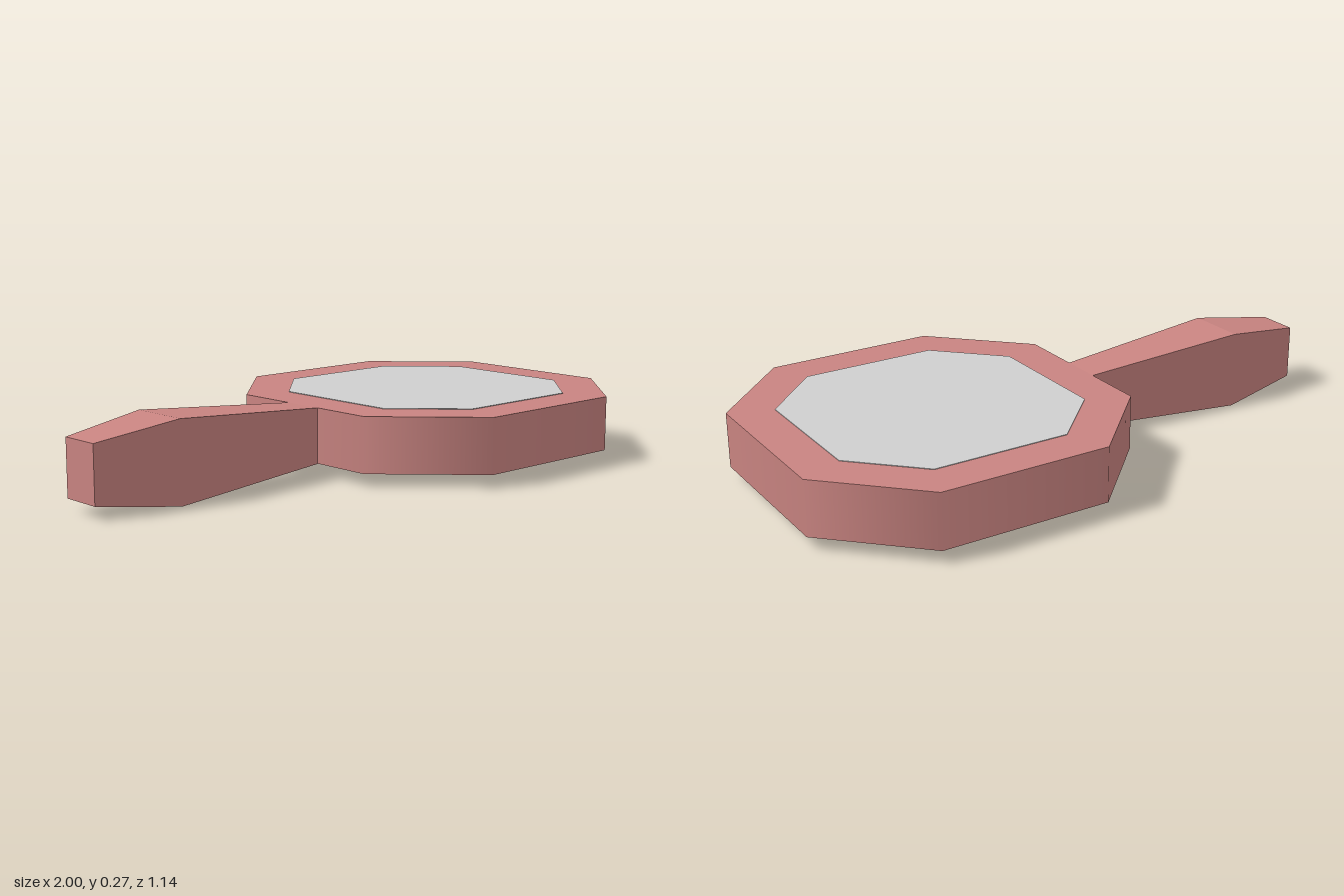
import * as THREE from 'three';

const pink = new THREE.MeshStandardMaterial({ name: 'dusty pink', color: 0xc98481 });
const grey = new THREE.MeshStandardMaterial({ name: 'mirror grey', color: 0xcfcfcf });

// Chamfered square plate: half is its half width, flat the half length of each straight edge
function octagonPlate(half, flat, bottom, top) {
  const geometry = new THREE.CylinderGeometry(1, 1, top - bottom, 8, 1, false, Math.PI / 8);
  const p = geometry.attributes.position;
  const snap = (v) => (Math.abs(v) < 0.1 ? 0 : Math.sign(v) * (Math.abs(v) > 0.6 ? half : flat));
  for (let i = 0; i < p.count; i++) {
    p.setX(i, snap(p.getX(i)));
    p.setZ(i, snap(p.getZ(i)));
  }
  return geometry.translate(0.43, (bottom + top) / 2, 0);
}

// Square bar that swells towards its outer end
function handleGeometry() {
  const sections = [
    { x: -1, halfY: 0.092, halfZ: 0.07 },
    { x: -0.715, halfY: 0.133, halfZ: 0.103 },
    { x: -0.14, halfY: 0.092, halfZ: 0.07 },
  ];
  const geometry = new THREE.BoxGeometry(2, 2, 2, 2, 1, 1).toNonIndexed();
  const p = geometry.attributes.position;
  for (let i = 0; i < p.count; i++) {
    const s = sections[Math.round(p.getX(i)) + 1];
    p.setXYZ(i, s.x, 0.133 + p.getY(i) * s.halfY, p.getZ(i) * s.halfZ);
  }
  geometry.computeVertexNormals();
  return geometry;
}

export function createModel() {
  const model = new THREE.Group();
  model.name = 'handMirror';
  const add = (name, geometry, material) => {
    const mesh = new THREE.Mesh(geometry, material);
    mesh.name = name;
    model.add(mesh);
  };

  add('frame', octagonPlate(0.57, 0.285, 0.042, 0.225), pink);
  add('mirrorGlass', octagonPlate(0.43, 0.228, 0.222, 0.227), grey);
  add('handle', handleGeometry(), pink);
  return model;
}
